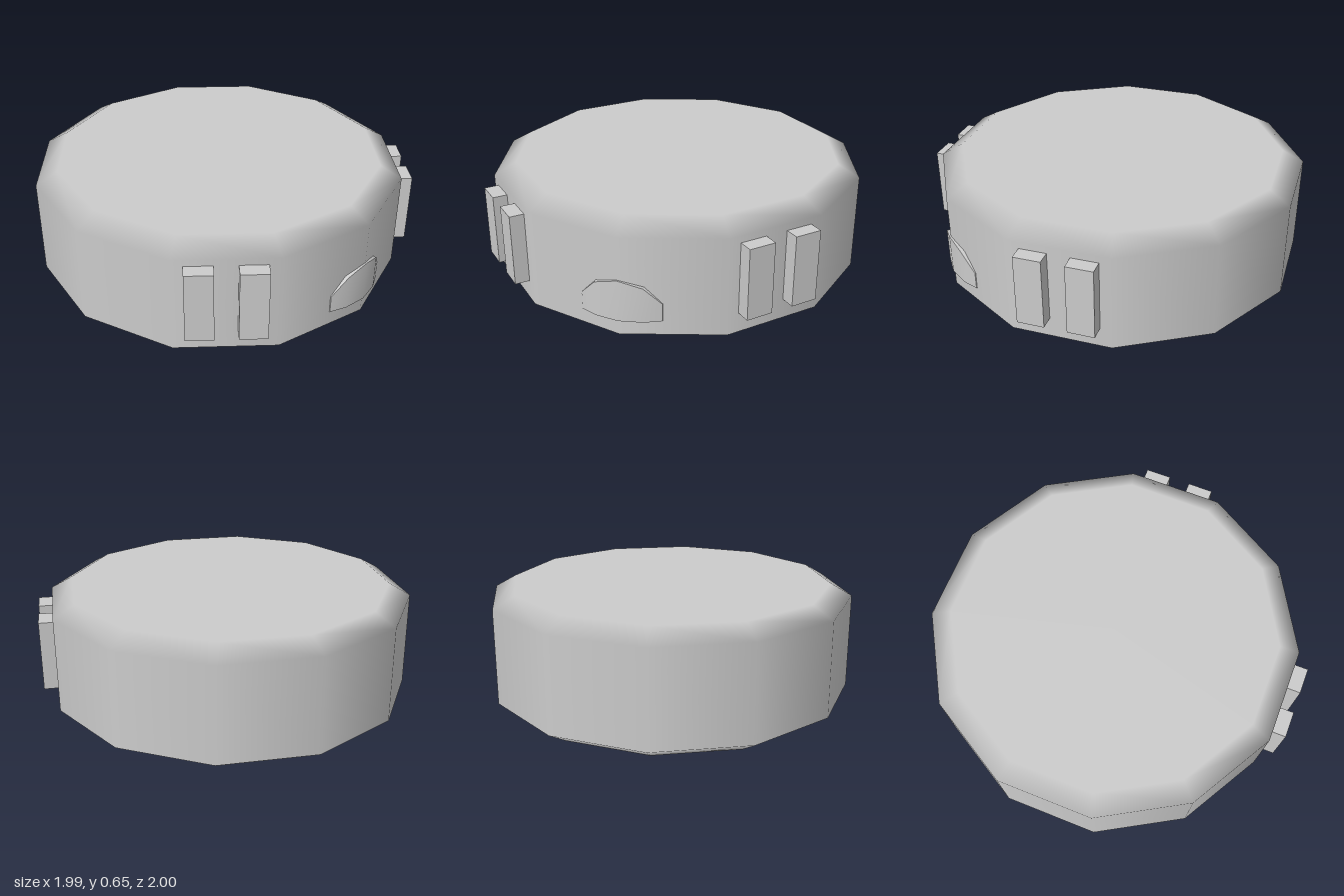
import * as THREE from 'three';

const grey = new THREE.MeshStandardMaterial({ color: 0xcccccc });
const CENTRE_Z = -0.005;

function addMesh(parent, name, geometry) {
  const mesh = new THREE.Mesh(geometry, grey);
  mesh.name = name;
  parent.add(mesh);
  return mesh;
}

// Twelve-sided drum with chamfered rims; normals blend across the chamfers only
function bodyGeometry() {
  const profile = [[0, 0], [0.88, 0], [0.995, 0.07], [0.995, 0.585], [0.88, 0.65], [0, 0.65]];
  const geometry = new THREE.LatheGeometry(profile.map(([r, y]) => new THREE.Vector2(r, y)), 12);
  const { position, normal } = geometry.attributes;
  const n = new THREE.Vector3();
  for (let i = 0; i < position.count; i++) {
    const y = position.getY(i);
    if (y < 0.01) n.set(0, -1, 0);
    else if (y > 0.64) n.set(0, 1, 0);
    else n.set(position.getX(i), 0, position.getZ(i)).normalize();
    normal.setXYZ(i, n.x, n.y, n.z);
  }
  return geometry;
}

// Shallow arched bump: a box whose columns follow an arch and a curved front
function bumpGeometry() {
  const columns = [
    { x: 0, top: 0.365, front: 0.998 },
    { x: 0.12, top: 0.33, front: 0.978 },
    { x: 0.203, top: 0.24, front: 0.94 },
  ];
  const geometry = new THREE.BoxGeometry(4, 1, 1, 4, 1, 1);
  const p = geometry.attributes.position;
  for (let i = 0; i < p.count; i++) {
    const x = p.getX(i);
    const column = columns[Math.round(Math.abs(x))];
    p.setXYZ(i,
      Math.sign(x) * column.x,
      p.getY(i) > 0 ? column.top : 0.147,
      p.getZ(i) > 0 ? column.front : 0.88);
  }
  geometry.computeVertexNormals();
  return geometry;
}

export function createModel() {
  const model = new THREE.Group();
  model.name = 'drumCase';

  addMesh(model, 'body', bodyGeometry()).position.z = CENTRE_Z;
  addMesh(model, 'frontBump', bumpGeometry());

  // A pair of upright lugs on each front diagonal face
  for (const side of [1, -1]) {
    const pair = new THREE.Group();
    pair.name = side > 0 ? 'leftLugs' : 'rightLugs';
    pair.position.z = CENTRE_Z;
    pair.rotation.y = side * Math.PI / 4;
    for (const offset of [-0.128, 0.128]) {
      const lug = addMesh(pair, 'lug', new THREE.BoxGeometry(0.14, 0.375, 0.14));
      lug.position.set(offset, 0.3625, 0.966);
    }
    model.add(pair);
  }
  return model;
}
